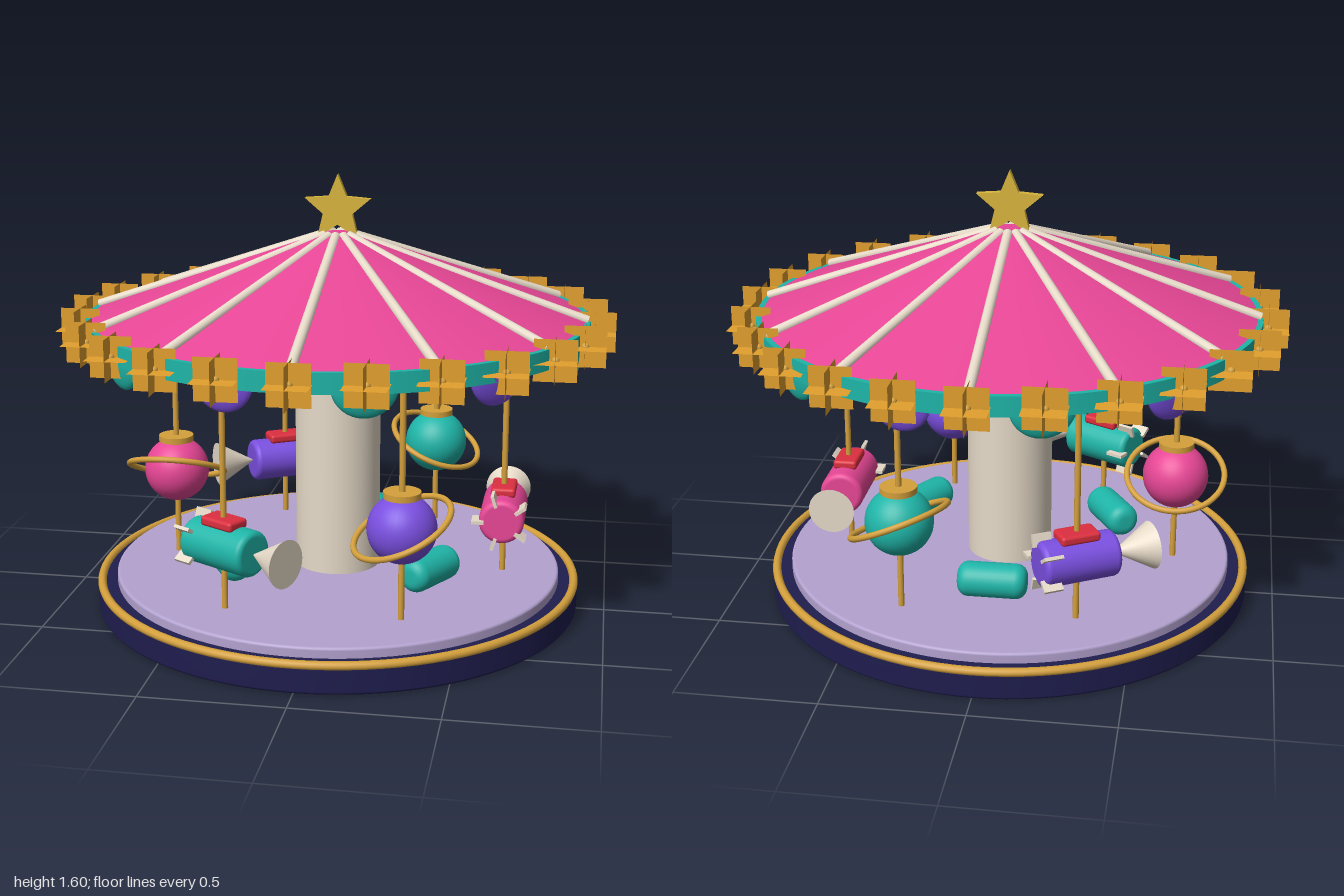
import * as THREE from 'three';
import { mergeGeometries } from 'three/addons/utils/BufferGeometryUtils.js';
import { RoundedBoxGeometry } from 'three/addons/geometries/RoundedBoxGeometry.js';

const mat = (name, color, side = THREE.FrontSide) => {
  const m = new THREE.MeshStandardMaterial({ color, side });
  m.name = name;
  return m;
};

export function createModel() {
  const navy = mat('navy', 0x1f1d4e), lavender = mat('lavender', 0xb3a2cf), gold = mat('gold', 0xd4a03c);
  const amber = mat('amber', 0xe3a02e, THREE.DoubleSide), yellow = mat('star yellow', 0xd9b53c);
  const cream = mat('cream', 0xe6dac8), pink = mat('pink', 0xec4899), red = mat('red', 0xdc2f3f);
  const teal = mat('teal', 0x1fb5a8, THREE.DoubleSide), purple = mat('purple', 0x7a4fe0, THREE.DoubleSide);

  const root = new THREE.Group();
  root.name = 'carousel';

  const add = (parent, name, geometry, material, x = 0, y = 0, z = 0) => {
    const mesh = new THREE.Mesh(geometry, material);
    mesh.name = name;
    mesh.position.set(x, y, z);
    parent.add(mesh);
    return mesh;
  };

  // Group turned so that local +z points outward and local +x runs round the ring
  const spoke = (name, degrees) => {
    const g = new THREE.Group();
    g.name = name;
    g.rotation.y = THREE.MathUtils.degToRad(degrees);
    root.add(g);
    return g;
  };

  // Cylinder with rounded rims
  const roundedCylinder = (r, length, bevel, segments = 32) => {
    const h = length / 2, pts = [new THREE.Vector2(0, -h)];
    for (const side of [-1, 1]) {
      for (let i = 0; i <= 6; i++) {
        const a = side < 0 ? -Math.PI / 2 + (i / 6) * Math.PI / 2 : (i / 6) * Math.PI / 2;
        pts.push(new THREE.Vector2(r - bevel + bevel * Math.cos(a), side * (h - bevel) + bevel * Math.sin(a)));
      }
    }
    pts.push(new THREE.Vector2(0, h));
    return new THREE.LatheGeometry(pts, segments);
  };

  // Platform
  add(root, 'base', roundedCylinder(0.898, 0.1, 0.012, 96), navy, 0, 0.05);
  add(root, 'baseTrim', new THREE.TorusGeometry(0.885, 0.016, 10, 96).rotateX(Math.PI / 2), gold, 0, 0.1);
  add(root, 'deck', roundedCylinder(0.828, 0.05, 0.01, 96), lavender, 0, 0.112);
  add(root, 'column', new THREE.CylinderGeometry(0.157, 0.157, 0.92, 48), cream, 0, 0.58);

  // Canopy
  add(root, 'canopyRim', new THREE.CylinderGeometry(0.91, 0.91, 0.07, 96), teal, 0, 1.055);
  add(root, 'roof', new THREE.CylinderGeometry(0.055, 0.89, 0.295, 96), pink, 0, 1.2375);
  const ribFrom = new THREE.Vector2(0.05, 1.378), ribTo = new THREE.Vector2(0.9, 1.092);
  const ribGeo = new THREE.CylinderGeometry(0.018, 0.018, ribFrom.distanceTo(ribTo), 12)
    .rotateX(Math.PI / 2 + Math.atan2(ribFrom.y - ribTo.y, ribTo.x - ribFrom.x))
    .translate(0, (ribFrom.y + ribTo.y) / 2, (ribFrom.x + ribTo.x) / 2);
  const scallopGeo = new THREE.SphereGeometry(0.11, 24, 12, 0, Math.PI * 2, Math.PI / 2, Math.PI / 2).scale(1, 1, 0.28);
  for (let i = 0; i < 12; i++) {
    add(spoke('roofRib', i * 30), 'rib', ribGeo, cream);
    add(spoke('valance', 15 + i * 30), 'scallop', scallopGeo, i % 2 ? purple : teal, 0, 1.045, 0.88);
  }

  // Rim lights: a small bulb inside three crossed square plates
  const plate = () => new THREE.PlaneGeometry(0.145, 0.145);
  const sparkleGeo = mergeGeometries([plate(), plate().rotateX(-Math.PI / 2), plate().rotateY(Math.PI / 2)]);
  const bulbGeo = new THREE.SphereGeometry(0.014, 12, 8);
  for (let i = 0; i < 24; i++) {
    const a = (i / 24) * Math.PI * 2, x = 0.9275 * Math.sin(a), z = 0.9275 * Math.cos(a);
    add(root, 'lightPlates', sparkleGeo, amber, x, 1.052, z);
    add(root, 'bulb', bulbGeo, gold, x, 1.052, z);
  }

  // Star finial
  const star = new THREE.Shape();
  for (let i = 0; i < 10; i++) {
    const r = i % 2 ? 0.056 : 0.125, a = Math.PI / 2 + (i * Math.PI) / 5;
    star[i ? 'lineTo' : 'moveTo'](r * Math.cos(a), r * Math.sin(a));
  }
  star.closePath();
  add(root, 'topStar', new THREE.ExtrudeGeometry(star, { depth: 0.028, bevelEnabled: false }).translate(0, 0, -0.014), yellow, 0, 1.47);

  // Rides
  const poleGeo = new THREE.CylinderGeometry(0.011, 0.011, 0.9, 12);
  const ride = (name, degrees) => {
    const g = spoke(name, degrees);
    add(g, 'pole', poleGeo, gold, 0, 0.58, 0.62);
    const seat = new THREE.Group();
    seat.name = name + 'Seat';
    seat.position.z = 0.62;
    g.add(seat);
    return seat;
  };

  const planet = (degrees, colour) => {
    const g = ride('planet', degrees);
    add(g, 'globe', new THREE.SphereGeometry(0.121, 32, 24), colour, 0, 0.466);
    add(g, 'planetCap', new THREE.CylinderGeometry(0.065, 0.065, 0.022, 24), gold, 0, 0.588);
    const ring = new THREE.TorusGeometry(0.18, 0.011, 10, 48).rotateX(Math.PI / 2).rotateZ(0.45);
    add(g, 'planetRing', ring, gold, 0, 0.47);
  };

  const rocket = (degrees, colour) => {
    const g = ride('rocket', degrees);
    add(g, 'rocketBody', roundedCylinder(0.082, 0.285, 0.02).rotateZ(Math.PI / 2), colour, 0, 0.366);
    add(g, 'nozzle', new THREE.ConeGeometry(0.085, 0.15, 32).rotateZ(Math.PI / 2), cream, 0.21, 0.366);
    add(g, 'saddle', new RoundedBoxGeometry(0.145, 0.035, 0.09, 3, 0.012), red, 0, 0.455);
    for (let k = 0; k < 5; k++) {
      const fin = new THREE.BoxGeometry(0.07, 0.045, 0.012).translate(-0.12, 0.085, 0);
      add(g, 'fin', fin.rotateX(-Math.PI / 2 + (k * Math.PI * 2) / 5), cream, 0, 0.366);
    }
  };

  planet(30, purple);
  rocket(90, pink);
  planet(150, teal);
  rocket(210, purple);
  planet(270, pink);
  rocket(330, teal);

  // Bolster benches on the deck
  const benchGeo = roundedCylinder(0.063, 0.25, 0.04).rotateZ(Math.PI / 2);
  for (const degrees of [60, 180, 300]) add(spoke('benchSpot', degrees), 'bench', benchGeo, teal, 0, 0.205, 0.43);

  return root;
}
